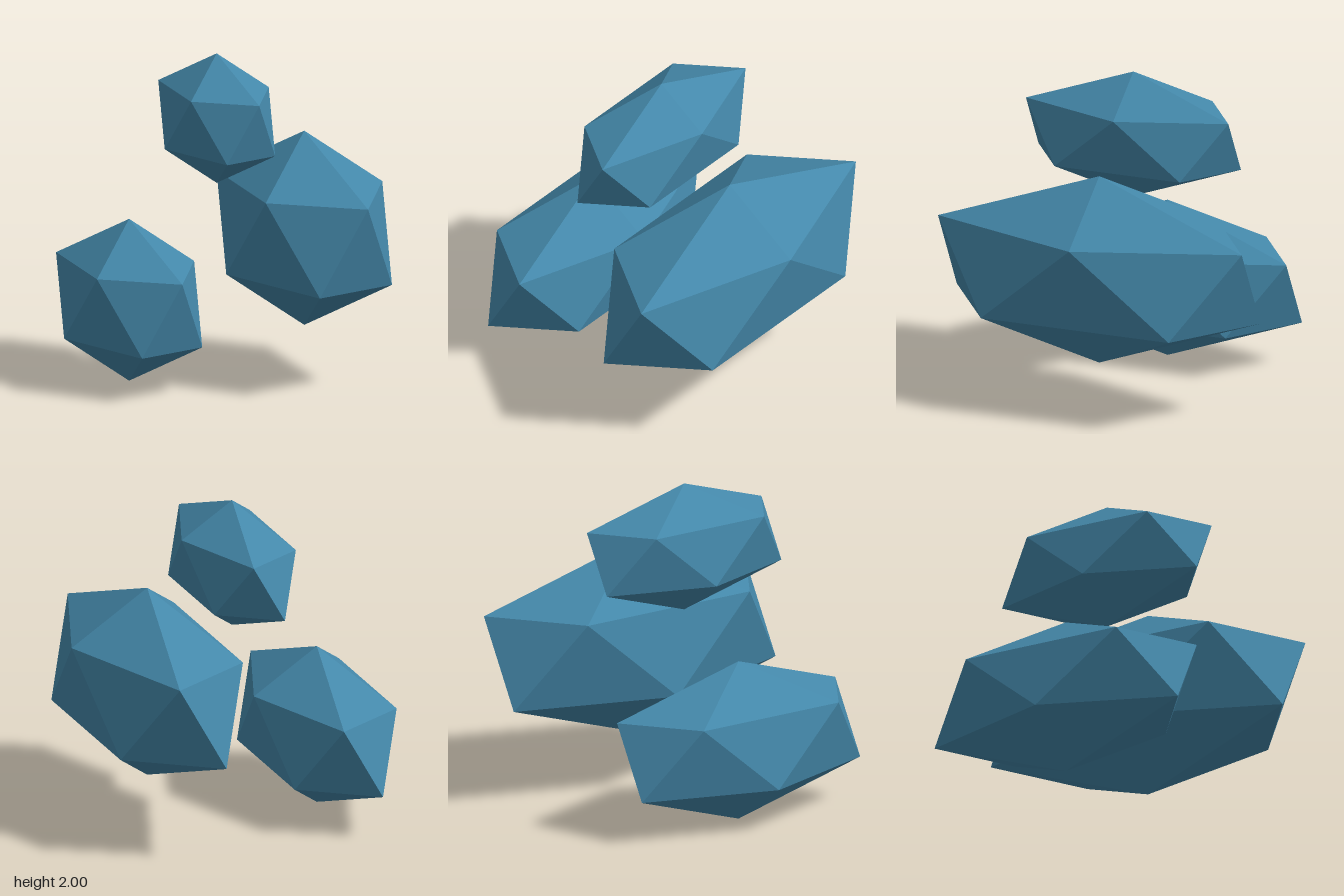
import * as THREE from 'three';

export function createModel() {
  const group = new THREE.Group();
  const crystalBlue = new THREE.MeshStandardMaterial({ color: 0x4488aa, flatShading: true });
  crystalBlue.name = 'crystalBlue';

  // Icosahedron turned to stand on a vertex, stretched along z
  const addCrystal = (name, radius, x, y) => {
    const geometry = new THREE.IcosahedronGeometry(1, 0);
    geometry.rotateZ(-Math.atan(2 / (1 + Math.sqrt(5))));
    geometry.scale(radius * 0.913, radius, radius * 1.959);
    geometry.computeVertexNormals();
    const crystal = new THREE.Mesh(geometry, crystalBlue);
    crystal.name = name;
    crystal.position.set(x, y, 0);
    group.add(crystal);
  };

  addCrystal('largeCrystal', 0.6, 0.51, 0.9);
  addCrystal('mediumCrystal', 0.5, -0.59, 0.5);
  addCrystal('smallCrystal', 0.4, -0.04, 1.6);

  return group;
}
